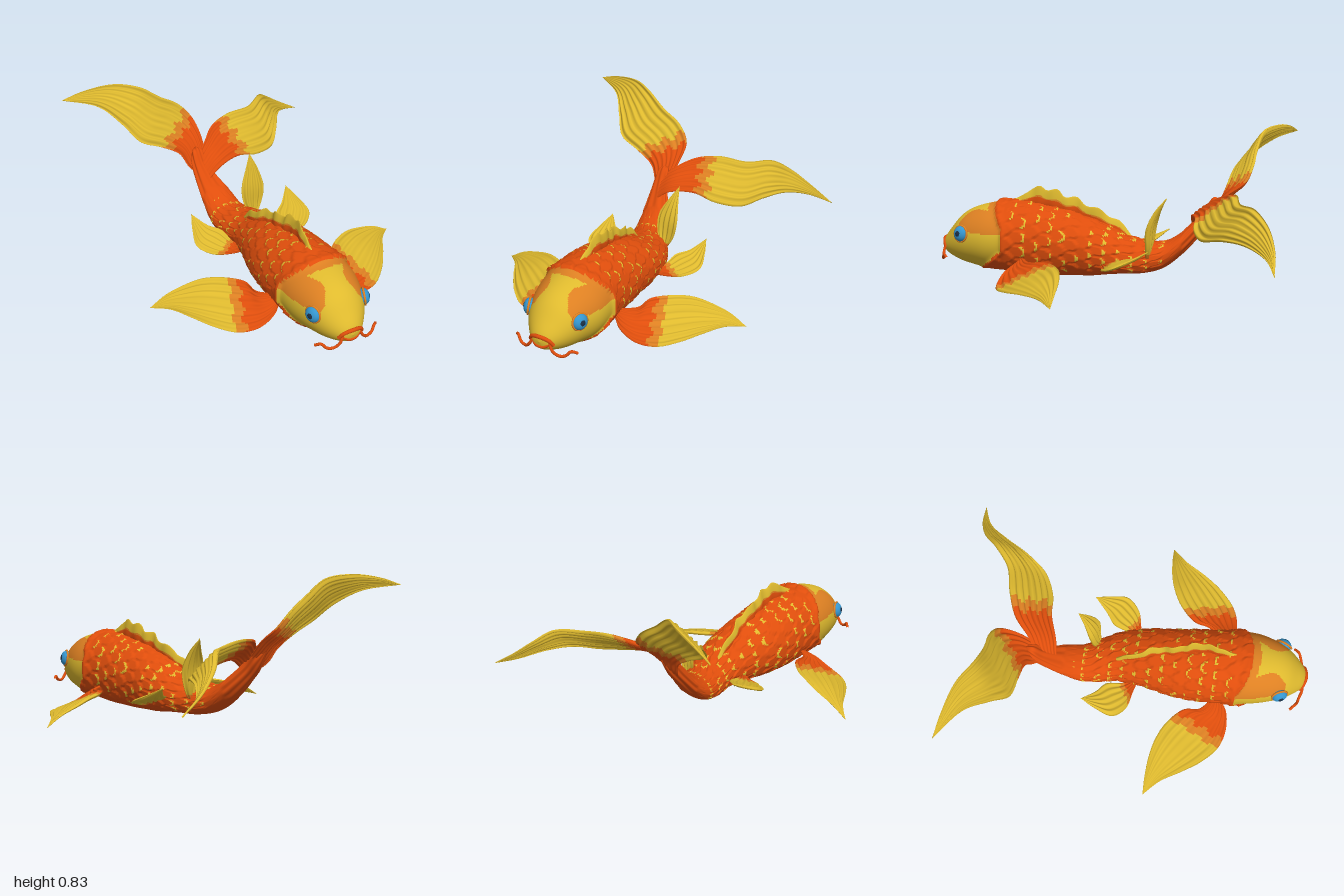
import * as THREE from 'three';

const mat = (name, color) => Object.assign(new THREE.MeshStandardMaterial({ color }), { name });
const V = (p, s = 1) => new THREE.Vector3(p[0] * s, p[1], p[2]);
const frac = (x) => x - Math.floor(x);
const hash = (a, b) => frac(Math.sin(a * 12.99 + b * 78.23) * 43758.55);

const ORANGE = 0, AMBER = 1, YELLOW = 2;
const skin = [mat('orange scale', 0xe04e0c), mat('amber', 0xdd8022), mat('golden yellow', 0xdfba2e)];
const blue = mat('eye blue', 0x3596cf), navy = mat('pupil navy', 0x1b3046);

// Tube-like surface closed around its section; paint picks a material for each cell
function paintedSurface(name, nu, na, point, paint) {
  const pos = [], faces = skin.map(() => []);
  for (let i = 0; i <= nu; i++)
    for (let j = 0; j < na; j++) pos.push(...point(i / nu, (j / na) * 2 * Math.PI).toArray());
  for (let i = 0; i < nu; i++)
    for (let j = 0; j < na; j++) {
      const k = (j + 1) % na, a = i * na + j, b = a + na, c = (i + 1) * na + k, d = i * na + k;
      const u = (i + 0.5) / nu, ang = ((j + 0.5) / na) * 2 * Math.PI;
      faces[paint(u, ang)].push(a, b, c, a, c, d);
    }
  const g = new THREE.BufferGeometry();
  g.setAttribute('position', new THREE.Float32BufferAttribute(pos, 3));
  g.setIndex(faces.flat());
  let start = 0;
  faces.forEach((f, m) => { g.addGroup(start, f.length, m); start += f.length; });
  g.computeVertexNormals();
  const mesh = new THREE.Mesh(g, skin);
  mesh.name = name;
  return mesh;
}

// Body sections from snout to tail root: z, centre x, centre y, half width, half height
const sections = [
  [0.985, 0, 0.17, 0, 0], [0.972, 0, 0.17, 0.05, 0.045], [0.93, 0, 0.185, 0.095, 0.088],
  [0.87, 0, 0.207, 0.138, 0.135], [0.8, 0, 0.22, 0.17, 0.165], [0.7, 0, 0.225, 0.198, 0.19],
  [0.6, -0.005, 0.228, 0.207, 0.2], [0.5, -0.01, 0.222, 0.2, 0.205], [0.4, -0.015, 0.215, 0.197, 0.2],
  [0.3, -0.015, 0.205, 0.192, 0.19], [0.2, -0.012, 0.195, 0.18, 0.175], [0.1, 0, 0.182, 0.167, 0.155],
  [0, 0.005, 0.168, 0.15, 0.127], [-0.1, 0, 0.15, 0.137, 0.1], [-0.2, -0.03, 0.138, 0.122, 0.086],
  [-0.3, -0.065, 0.152, 0.105, 0.072], [-0.4, -0.087, 0.225, 0.088, 0.064],
  [-0.5, -0.12, 0.335, 0.052, 0.062], [-0.56, -0.125, 0.41, 0.04, 0.065], [-0.62, -0.12, 0.45, 0, 0],
];
const spine = new THREE.CatmullRomCurve3(sections.map((s) => V([s[1], s[2], s[0]])), false, 'catmullrom', 0.5);
const girth = new THREE.CatmullRomCurve3(sections.map((s) => V([s[3], s[4], 0])), false, 'catmullrom', 0.5);

// Overlapping scales: rise towards the rounded rear rim
function scaleAt(z, ang) {
  const s = (0.66 - z) / 0.075, w = (ang / (2 * Math.PI)) * 16 + 0.5;
  for (let i = Math.floor(s) - 1; ; i++) {
    const col = w + 0.5 * Math.abs(i % 2), c = frac(col) - 0.5;
    const edge = i + 1 + 0.85 * Math.sqrt(1 - 4 * c * c);
    if (s < edge || i >= Math.floor(s))
      return { lift: (s - i) / (edge - i), gap: edge - s, c, seed: hash(i, Math.floor(col) % 16) };
  }
}
// Rear limit of the head, slanting forward under the cheek and over the nape
const headEdge = (y) => 0.585 + Math.max(0, 0.18 - y) * 1.2 + Math.max(0, y - 0.3) * 0.6;

function bodyPoint(u, ang) {
  const p = spine.getPoint(u), r = girth.getPoint(u);
  const y = p.y + r.y * Math.sin(ang);
  let bump = 0;
  if (p.z < headEdge(y)) {
    const fade = THREE.MathUtils.smoothstep(p.z, -0.45, -0.15) * THREE.MathUtils.smoothstep(Math.sin(ang), -0.95, -0.5);
    bump = scaleAt(p.z, ang).lift * 0.014 * fade;
  }
  bump += 0.008 * Math.exp(-(((p.z - headEdge(y) + 0.01) / 0.02) ** 2)); // gill rim
  if (p.z < -0.4) bump += 0.004 * Math.sin(ang * 9) * Math.min(1, r.x * 20);
  const k = r.x > 0.001 ? bump : 0;
  return new THREE.Vector3(p.x + (Math.max(0, r.x) + k) * Math.cos(ang),
    p.y + (Math.max(0, r.y) + k) * Math.sin(ang), p.z);
}

function bodyPaint(u, ang) {
  const { x, y, z } = bodyPoint(u, ang), ax = Math.abs(x);
  if (z > headEdge(y)) {
    const sides = z < 0.86 && ax > 0.085 + 0.02 * Math.sin(z * 30);
    return y > 0.27 && (sides || z < headEdge(y) + 0.05) ? AMBER : YELLOW;
  }
  const s = scaleAt(z, ang);
  const rim = s.gap < 0.18 && Math.abs(s.c) < 0.12 + 0.3 * s.seed && s.seed > 0.3;
  return rim && z < 0.56 && z > -0.35 && Math.sin(ang) > -0.75 ? YELLOW : ORANGE;
}

// Fin stretched between two edges, with ridged rays lengthwise or (across) from base to rim
function fin(name, edgeA, edgeB, { rays = 6, ripple = 0.008, thick = 0.01, orange = 0.35, amber = 0.07, side = 1, across = false } = {}) {
  const A = new THREE.CatmullRomCurve3(edgeA.map((p) => V(p, side)));
  const B = new THREE.CatmullRomCurve3(edgeB.map((p) => V(p, side)));
  const normalAt = (u) => {
    const t = THREE.MathUtils.clamp(u, 0.06, 0.92);
    const w = B.getPointAt(t).sub(A.getPointAt(t));
    return A.getTangentAt(t).add(B.getTangentAt(t)).cross(w).normalize();
  };
  const point = (u, ang) => {
    const v = 0.5 - 0.5 * Math.cos(ang);
    const taper = Math.sin(Math.PI * Math.min(1, 0.08 + u * 0.92));
    const wave = ripple * taper * Math.sin((across ? u : v) * rays * 2 * Math.PI);
    const off = Math.sin(ang) * thick * (across ? 1 - 0.6 * v : 1 - 0.75 * u) + wave;
    return A.getPointAt(u).lerp(B.getPointAt(u), v).addScaledVector(normalAt(u), off);
  };
  const paint = (u, ang) => {
    const v = 0.5 - 0.5 * Math.cos(ang);
    const along = (across ? v : u) + 0.02 * Math.sin((across ? u : v) * 19);
    return along < orange ? ORANGE : along < orange + amber ? AMBER : YELLOW;
  };
  return paintedSurface(name, 50, 72, point, paint);
}

function tube(name, pts, radius, material, side = 1) {
  const curve = new THREE.CatmullRomCurve3(pts.map((p) => V(p, side)));
  const m = new THREE.Mesh(new THREE.TubeGeometry(curve, 28, radius, 8), material);
  m.name = name;
  return m;
}

function eye(side) {
  const g = new THREE.Group();
  g.name = side > 0 ? 'leftEye' : 'rightEye';
  const add = (name, geo, m, z, flat) => {
    const mesh = new THREE.Mesh(geo, m);
    mesh.name = name;
    mesh.position.z = z;
    mesh.scale.z = flat;
    g.add(mesh);
  };
  add('eyeSocket', new THREE.TorusGeometry(0.045, 0.006, 10, 32), skin[AMBER], 0, 1);
  add('iris', new THREE.SphereGeometry(0.044, 24, 16), blue, 0, 0.7);
  add('pupil', new THREE.SphereGeometry(0.021, 20, 12), navy, 0.021, 0.55);
  g.position.set(0.154 * side, 0.258, 0.835);
  g.lookAt(1.154 * side, 0.42, 1.25);
  return g;
}

export function createModel() {
  const fish = new THREE.Group();
  fish.name = 'fish';
  fish.add(paintedSurface('body', 200, 144, bodyPoint, bodyPaint));

  // Paired parts
  for (const side of [1, -1]) {
    const n = side > 0 ? 'left' : 'right';
    fish.add(eye(side));
    fish.add(fin(n + 'PectoralFin',
      [[0.16, 0.1, 0.5], [0.22, 0.07, 0.55], [0.32, 0.03, 0.565], [0.43, 0.02, 0.535], [0.53, 0.035, 0.45], [0.61, 0.05, 0.34], [0.68, 0.05, 0.225], [0.765, 0.03, 0.135]],
      [[0.16, 0.14, 0.47], [0.25, 0.14, 0.4], [0.27, 0.15, 0.31], [0.36, 0.15, 0.22], [0.46, 0.145, 0.17], [0.56, 0.12, 0.145], [0.67, 0.085, 0.135], [0.765, 0.03, 0.135]],
      { side, orange: 0.32, rays: 7, ripple: 0.008 }));
    fish.add(fin(n + 'PelvicFin',
      [[0.11, 0.13, 0.03], [0.155, 0.14, -0.06], [0.18, 0.17, -0.15], [0.24, 0.19, -0.2], [0.31, 0.245, -0.275]],
      [[0.11, 0.12, 0.03], [0.2, 0.11, 0.005], [0.3, 0.125, -0.02], [0.365, 0.155, -0.09], [0.345, 0.2, -0.19], [0.31, 0.245, -0.275]],
      { side, orange: 0.25, rays: 5, ripple: 0.006, thick: 0.012 }));
    fish.add(tube(n + 'Barbel',
      [[0.05, 0.17, 0.965], [0.07, 0.13, 0.97], [0.1, 0.105, 0.96], [0.135, 0.11, 0.95], [0.16, 0.135, 0.935], [0.185, 0.12, 0.91]],
      0.008, skin[ORANGE], side));
  }

  // Mouth
  fish.add(tube('upperLip', [[-0.07, 0.155, 0.955], [-0.05, 0.185, 0.97], [0, 0.2, 0.982], [0.05, 0.185, 0.97], [0.07, 0.155, 0.955]], 0.011, skin[ORANGE]));
  fish.add(tube('lowerLip', [[-0.05, 0.16, 0.965], [-0.025, 0.143, 0.975], [0, 0.139, 0.978], [0.025, 0.143, 0.975], [0.05, 0.16, 0.965]], 0.009, skin[ORANGE]));

  // Dorsal fin with spiny rim
  fish.add(fin('dorsalFin',
    [[-0.01, 0.41, 0.6], [0, 0.4, 0.4], [-0.02, 0.35, 0.2], [-0.04, 0.28, 0.02], [-0.05, 0.22, -0.11]],
    [[-0.01, 0.42, 0.6], [-0.005, 0.475, 0.5], [0, 0.525, 0.41], [0.01, 0.5, 0.37], [0, 0.51, 0.31], [-0.005, 0.465, 0.27], [-0.02, 0.465, 0.2],
      [-0.01, 0.415, 0.14], [-0.02, 0.41, 0.08], [-0.045, 0.355, 0.02], [-0.05, 0.335, -0.04], [-0.05, 0.25, -0.11]],
    { across: true, rays: 9, ripple: 0.004, thick: 0.018, orange: 0.48 }));

  // Upright fin beside the tail stem
  fish.add(fin('analFin',
    [[0.06, 0.13, -0.21], [0.01, 0.24, -0.24], [0.01, 0.34, -0.26], [0.055, 0.43, -0.295], [0.1, 0.5, -0.335]],
    [[0.07, 0.13, -0.22], [0.12, 0.22, -0.23], [0.14, 0.32, -0.235], [0.125, 0.42, -0.275], [0.1, 0.5, -0.335]],
    { rays: 4, ripple: 0.008, thick: 0.012, orange: 0.06 }));

  // Two long tail lobes
  fish.add(fin('leftTailLobe',
    [[-0.1, 0.33, -0.44], [-0.03, 0.38, -0.45], [0.11, 0.39, -0.495], [0.24, 0.355, -0.51], [0.38, 0.335, -0.575], [0.47, 0.36, -0.69], [0.55, 0.36, -0.82], [0.65, 0.32, -0.94], [0.785, 0.27, -1]],
    [[-0.12, 0.43, -0.56], [-0.06, 0.48, -0.6], [0.03, 0.525, -0.68], [0.16, 0.545, -0.73], [0.32, 0.53, -0.77], [0.44, 0.53, -0.86], [0.53, 0.46, -0.94], [0.64, 0.37, -0.985], [0.785, 0.27, -1]],
    { rays: 7, ripple: 0.009, thick: 0.014, orange: 0.22, amber: 0.06 }));
  fish.add(fin('rightTailLobe',
    [[-0.15, 0.33, -0.52], [-0.185, 0.37, -0.56], [-0.225, 0.45, -0.59], [-0.33, 0.52, -0.605], [-0.45, 0.58, -0.625], [-0.52, 0.67, -0.71], [-0.61, 0.75, -0.83], [-0.785, 0.78, -0.955]],
    [[-0.08, 0.4, -0.53], [-0.06, 0.5, -0.64], [-0.07, 0.58, -0.745], [-0.14, 0.67, -0.78], [-0.25, 0.745, -0.785], [-0.36, 0.825, -0.81], [-0.49, 0.845, -0.88], [-0.66, 0.82, -0.93], [-0.785, 0.78, -0.955]],
    { rays: 7, ripple: 0.009, thick: 0.014, orange: 0.24, amber: 0.06 }));

  return fish;
}
